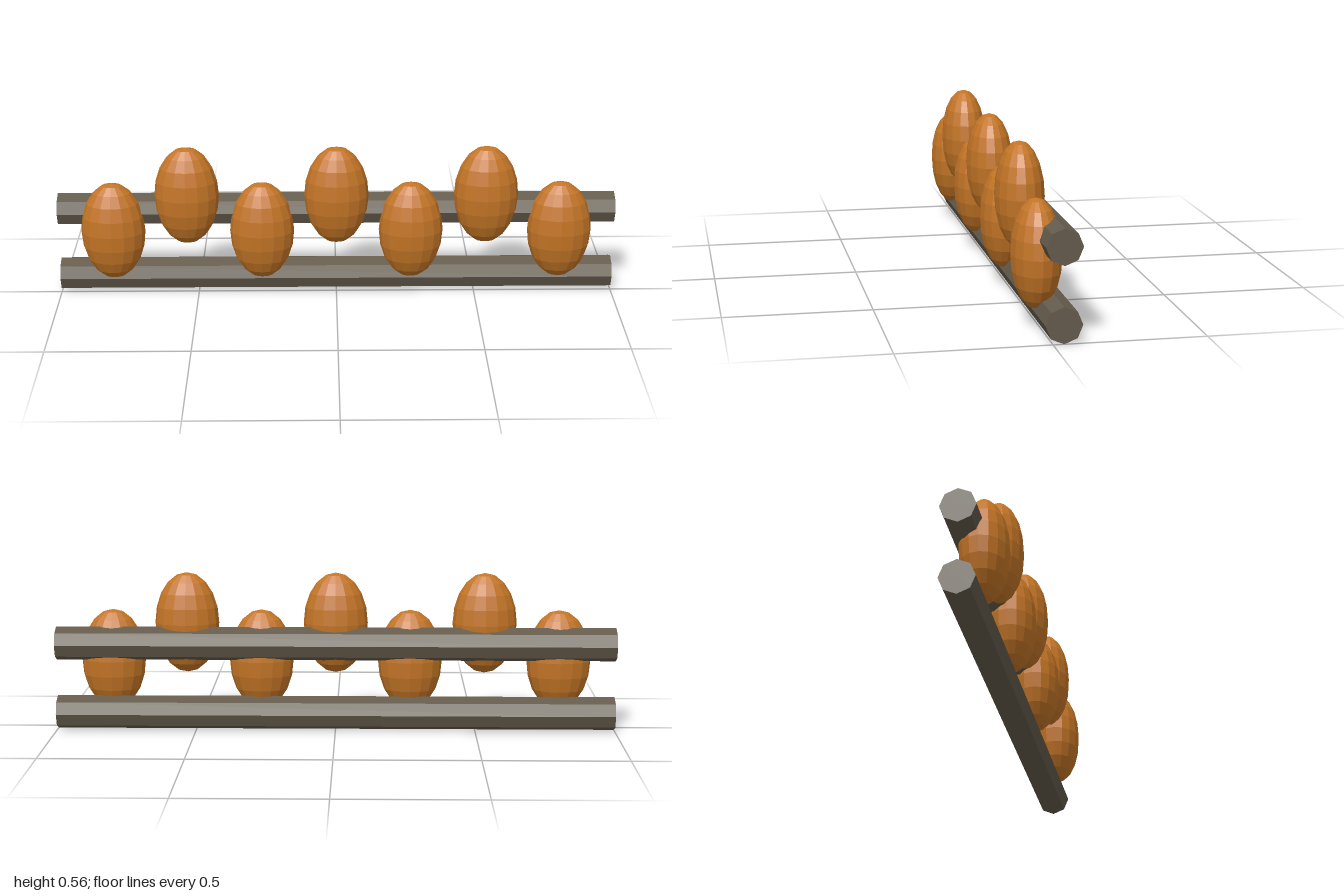
import * as THREE from 'three';

export function createModel() {
  const group = new THREE.Group();
  const railGrey = new THREE.MeshStandardMaterial({ color: 0x645b4c, flatShading: true });
  railGrey.name = 'rail grey';
  const amber = new THREE.MeshStandardMaterial({ color: 0xc47526, flatShading: true });
  amber.name = 'amber';

  // Two octagonal rails running the full width
  const railGeo = new THREE.CylinderGeometry(0.06, 0.06, 2, 8).rotateZ(Math.PI / 2);
  [['lowerRail', 0.06], ['upperRail', 0.311]].forEach(([name, y]) => {
    const rail = new THREE.Mesh(railGeo, railGrey);
    rail.name = name;
    rail.position.set(0, y, -0.036);
    group.add(rail);
  });

  // Seven flattened egg-shaped beads, alternately low and high
  const beadGeo = new THREE.SphereGeometry(1, 16, 10).scale(0.115, 0.181, 0.083);
  for (let i = 0; i < 7; i++) {
    const bead = new THREE.Mesh(beadGeo, amber);
    bead.name = `bead${i + 1}`;
    bead.position.set((i - 3) * 0.267, i % 2 ? 0.38 : 0.246, 0.013);
    group.add(bead);
  }
  return group;
}
